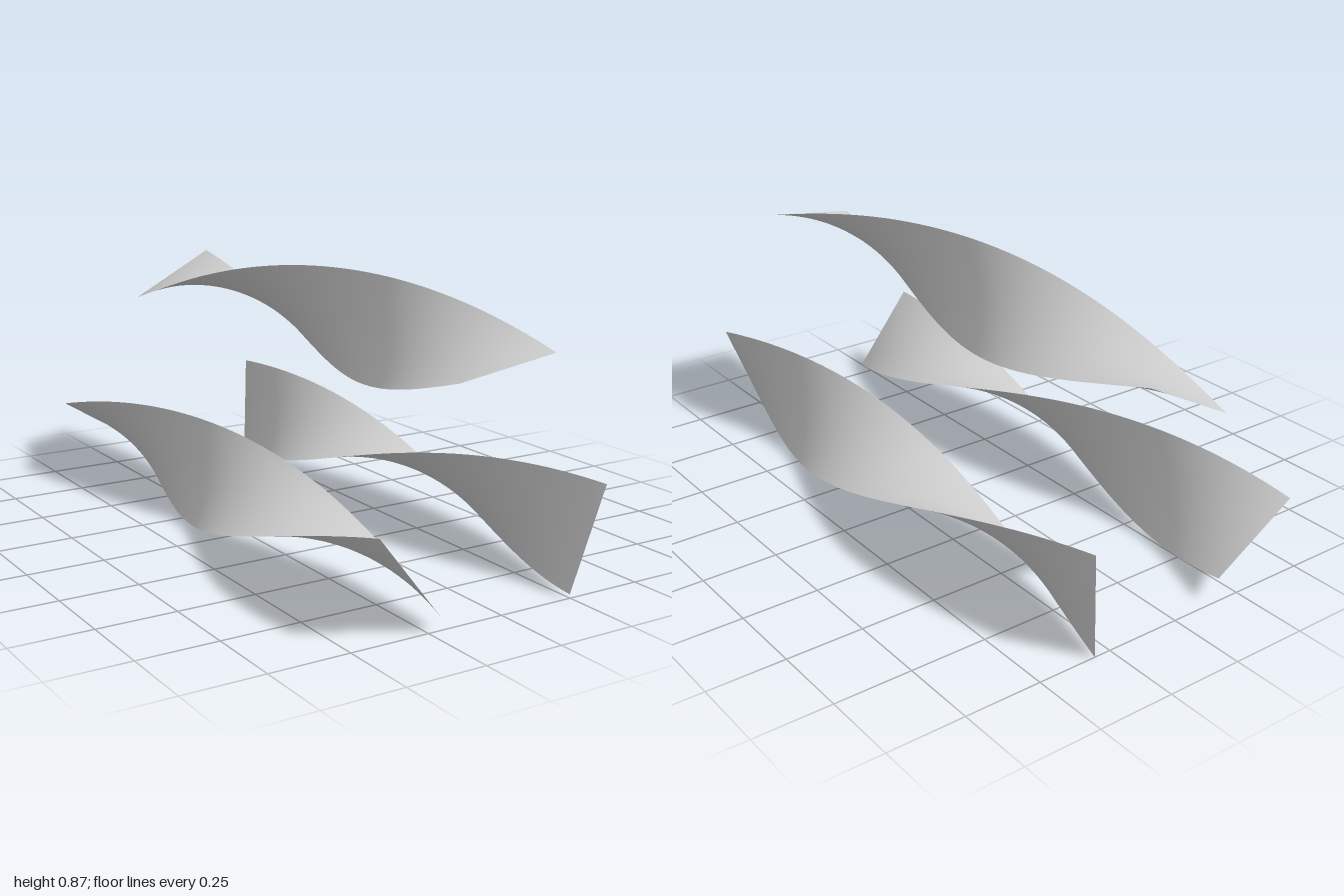
import * as THREE from 'three';

const LENGTH = 2, RADIUS = 0.166, TWIST = THREE.MathUtils.degToRad(200);

// Flat strip along z, each cross-section turned about the strip's own axis
function twistedStrip(startAngle) {
  const geo = new THREE.PlaneGeometry(2 * RADIUS, LENGTH, 8, 96);
  const pos = geo.attributes.position;
  for (let i = 0; i < pos.count; i++) {
    const r = pos.getX(i), z = pos.getY(i);
    const a = startAngle + TWIST * (0.5 - z / LENGTH);
    pos.setXYZ(i, r * Math.cos(a), r * Math.sin(a), z);
  }
  geo.computeVertexNormals();
  return geo;
}

export function createModel() {
  const group = new THREE.Group();
  const material = new THREE.MeshStandardMaterial({ color: 0xcccccc, side: THREE.DoubleSide });

  // Three parallel blades on a triangle, each starting 60 degrees apart
  const blades = [
    ['topBlade', 0, 0.703, 8.2],
    ['leftBlade', 0.31, 0.167, 68.2],
    ['rightBlade', -0.31, 0.167, -51.8],
  ];
  for (const [name, x, y, degrees] of blades) {
    const blade = new THREE.Mesh(twistedStrip(THREE.MathUtils.degToRad(degrees)), material);
    blade.name = name;
    blade.position.set(x, y, 0);
    group.add(blade);
  }
  return group;
}
